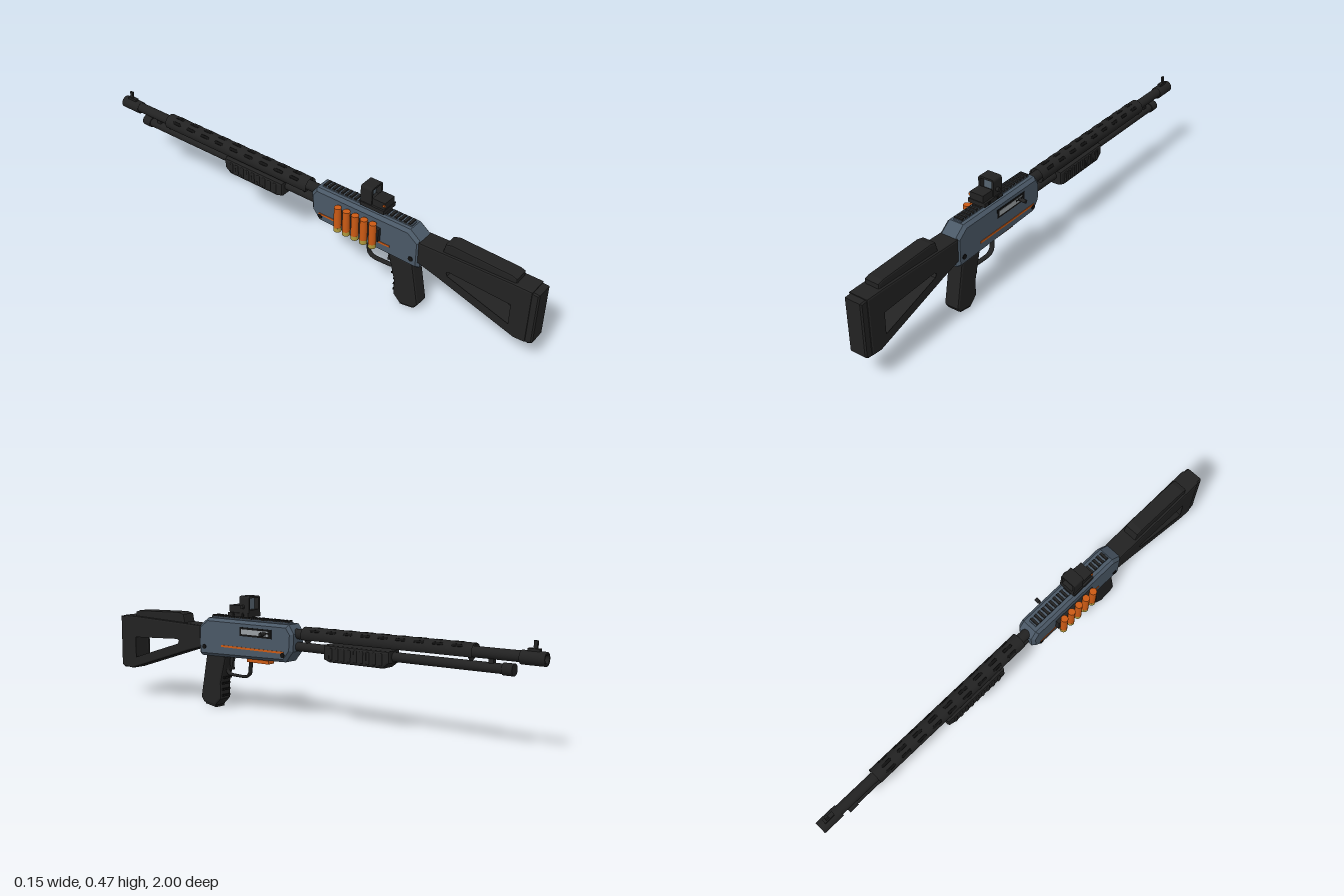
import * as THREE from 'three';
import { RoundedBoxGeometry } from 'three/addons/geometries/RoundedBoxGeometry.js';

const mat = (name, color, side = THREE.FrontSide) => {
  const m = new THREE.MeshStandardMaterial({ color, side });
  m.name = name;
  return m;
};

export function createModel() {
  const black = mat('matte black', 0x222222, THREE.DoubleSide);
  const dark = mat('deep black', 0x111111);
  const slate = mat('slate blue', 0x4a5866);
  const orange = mat('orange', 0xcc5a14);
  const brass = mat('brass', 0xb09a3c);
  const silver = mat('silver', 0x9aa0a4);
  const glass = mat('lens grey', 0x566470, THREE.DoubleSide);

  const model = new THREE.Group();
  model.name = 'shotgun';
  const body = new THREE.Group();
  body.name = 'body';
  body.position.x = 0.002;
  model.add(body);

  const add = (name, geo, material, x = 0, y = 0, z = 0) => {
    const m = new THREE.Mesh(geo, material);
    m.name = name;
    m.position.set(x, y, z);
    body.add(m);
    return m;
  };
  const box = (name, material, w, h, d, x, y, z) =>
    add(name, new THREE.BoxGeometry(w, h, d), material, x, y, z);
  // cylinder lying along z between two ends
  const rod = (name, material, r, y, z0, z1, n = 24, x = 0) =>
    add(name, new THREE.CylinderGeometry(r, r, Math.abs(z1 - z0), n).rotateX(Math.PI / 2), material, x, y, (z0 + z1) / 2);
  // side profile of [z, y] points, extruded across x with bevelled edges
  const profile = (name, material, pts, half, bevel, hole, segments = 1) => {
    const v = (p) => p.map(([z, y]) => new THREE.Vector2(-z, y));
    const s = new THREE.Shape(v(pts));
    if (hole) s.holes.push(new THREE.Path(v(hole)));
    const depth = 2 * (half - bevel);
    const g = new THREE.ExtrudeGeometry(s, {
      depth, bevelEnabled: bevel > 0, bevelSize: bevel, bevelThickness: bevel,
      bevelOffset: -bevel, bevelSegments: segments,
    });
    g.translate(0, 0, -depth / 2).rotateY(Math.PI / 2);
    return add(name, g, material);
  };

  // receiver with stripes, pins and top rail
  profile('receiver', slate, [[0.528, 0.225], [0.528, 0.338], [0.48, 0.375], [0.06, 0.375],
    [0.036, 0.34], [0.04, 0.27], [0.075, 0.227], [0.515, 0.217]], 0.043, 0.012);
  for (const s of [-1, 1]) {
    box('receiverStripe', orange, 0.004, 0.008, 0.325, s * 0.043, 0.265, 0.24);
    for (const z of [0.495, 0.083])
      add('receiverPin', new THREE.CylinderGeometry(0.01, 0.01, 0.008, 16).rotateZ(Math.PI / 2), dark, s * 0.042, 0.255, z);
  }
  box('railBase', slate, 0.034, 0.008, 0.4, 0, 0.377, 0.275);
  for (let i = 0; i < 20; i++) box('railTooth', black, 0.036, 0.008, 0.01, 0, 0.383, 0.085 + i * 0.02);

  // ejection port and charging handle
  box('ejectionPort', dark, 0.004, 0.036, 0.165, 0.0425, 0.332, 0.22);
  box('boltCarrier', silver, 0.004, 0.02, 0.14, 0.0438, 0.332, 0.222);
  box('boltSlot', dark, 0.003, 0.007, 0.045, 0.045, 0.334, 0.17);
  add('chargingHandle', new THREE.CylinderGeometry(0.006, 0.006, 0.035, 16).rotateZ(Math.PI / 2), black, 0.0575, 0.332, 0.17);
  add('handleKnob', new THREE.CylinderGeometry(0.0075, 0.0075, 0.018, 16).rotateZ(Math.PI / 2), black, 0.066, 0.332, 0.17);
  box('shellLifter', orange, 0.036, 0.014, 0.11, 0, 0.214, 0.23);

  // skeleton stock, cheek rest and butt pad
  profile('stock', black, [[0.975, 0.125], [0.975, 0.352], [0.9, 0.352], [0.52, 0.34], [0.52, 0.248],
    [0.6, 0.226], [0.93, 0.122]], 0.041, 0.007,
  [[0.91, 0.165], [0.91, 0.267], [0.65, 0.28], [0.635, 0.268], [0.645, 0.247]], 2);
  profile('buttPad', black, [[1, 0.133], [1, 0.347], [0.96, 0.35], [0.96, 0.125], [0.985, 0.122]], 0.037, 0.005);
  profile('cheekRest', black, [[0.91, 0.34], [0.91, 0.37], [0.89, 0.377], [0.65, 0.385], [0.625, 0.378], [0.615, 0.335]], 0.031, 0.006, null, 2);

  // pistol grip with ridges
  profile('grip', black, [[0.495, 0.225], [0.53, 0.04], [0.515, 0.018], [0.453, 0.008], [0.42, 0.04],
    [0.42, 0.105], [0.395, 0.2], [0.39, 0.225]], 0.032, 0.009, null, 2);
  const cap = box('gripCap', black, 0.05, 0.012, 0.058, 0, 0.0135, 0.478);
  cap.rotation.x = -0.17;
  for (let i = 0; i < 4; i++) box('gripRidge', dark, 0.044, 0.008, 0.012, 0, 0.055 + i * 0.025, 0.419 - Math.max(0, i - 2) * 0.01);

  // trigger and guard
  const guard = new THREE.CatmullRomCurve3([[0.21, 0.4], [0.165, 0.408], [0.145, 0.39], [0.142, 0.31], [0.16, 0.285], [0.225, 0.28]]
    .map(([y, z]) => new THREE.Vector3(0, y, z)), false, 'catmullrom', 0.3);
  add('triggerGuard', new THREE.TubeGeometry(guard, 40, 0.006, 8).scale(1.8, 1, 1), black);
  profile('trigger', black, [[0.385, 0.225], [0.365, 0.225], [0.376, 0.19], [0.372, 0.166], [0.38, 0.166], [0.39, 0.19]], 0.006, 0);

  // barrel, muzzle and front sight
  rod('barrel', black, 0.02, 0.338, 0.06, -0.95);
  const muzzle = new THREE.LatheGeometry([[0.014, 0], [0.014, 0.06], [0.025, 0.06], [0.025, -0.03], [0.02, -0.03]]
    .map(([r, y]) => new THREE.Vector2(r, y)), 24).rotateX(-Math.PI / 2);
  add('muzzle', muzzle, black, 0, 0.336, -0.94);
  box('frontSightBase', black, 0.016, 0.012, 0.045, 0, 0.363, -0.955);
  box('frontSightBlade', black, 0.008, 0.036, 0.014, 0, 0.378, -0.96);

  // heat shield with slots
  const shield = new THREE.CylinderGeometry(0.032, 0.032, 0.74, 28, 1, true, Math.PI - 2.1, 4.2).rotateX(Math.PI / 2);
  add('heatShield', shield, black, 0, 0.337, -0.367);
  for (const z of [-0.012, -0.722]) {
    const band = new THREE.RingGeometry(0.019, 0.032, 28);
    add('shieldEnd', band, black, 0, 0.337, z);
  }
  for (const a of [-0.85, 0, 0.85]) for (let i = 0; i < 9; i++) {
    const g = new THREE.CapsuleGeometry(0.006, 0.032, 4, 8).rotateX(Math.PI / 2).scale(1, 0.25, 1);
    const slot = add('shieldSlot', g, dark, Math.sin(a) * 0.0318, 0.337 + Math.cos(a) * 0.0318, -0.06 - i * 0.077);
    slot.rotation.z = -a;
  }

  // magazine tube and its clamp
  rod('magazineTube', black, 0.018, 0.289, 0.06, -0.88);
  rod('magazineCap', black, 0.022, 0.289, -0.845, -0.885);
  box('barrelClamp', black, 0.018, 0.05, 0.02, 0, 0.314, -0.8);

  // ribbed pump
  profile('pump', black, [[-0.11, 0.312], [-0.405, 0.312], [-0.405, 0.268], [-0.378, 0.247], [-0.135, 0.247], [-0.11, 0.256]], 0.038, 0.009, null, 2);
  for (let i = 0; i < 9; i++)
    add('pumpRib', new RoundedBoxGeometry(0.084, 0.046, 0.014, 2, 0.004), black, 0, 0.28, -0.145 - i * 0.028);

  // side saddle with five shells
  box('shellHolder', black, 0.018, 0.055, 0.2, -0.05, 0.302, 0.26);
  for (let i = 0; i < 5; i++) {
    const z = 0.182 + i * 0.0395;
    add('shellHull', new THREE.CylinderGeometry(0.0145, 0.0145, 0.09, 18), orange, -0.0655, 0.31, z);
    add('shellBase', new THREE.CylinderGeometry(0.015, 0.015, 0.018, 18), brass, -0.065, 0.257, z);
  }

  // reflex sight: mount, rear block, open hood and lens
  box('sightMount', black, 0.076, 0.016, 0.105, 0, 0.397, 0.314);
  box('sightBase', black, 0.06, 0.012, 0.1, 0, 0.408, 0.314);
  box('sightRearBlock', black, 0.06, 0.026, 0.055, 0, 0.421, 0.338);
  const hood = new THREE.Shape();
  hood.moveTo(-0.034, 0.405).lineTo(0.034, 0.405).lineTo(0.034, 0.462);
  hood.quadraticCurveTo(0.034, 0.473, 0.023, 0.473).lineTo(-0.023, 0.473);
  hood.quadraticCurveTo(-0.034, 0.473, -0.034, 0.462).lineTo(-0.034, 0.405);
  hood.holes.push(new THREE.Path([[-0.026, 0.418], [-0.026, 0.465], [0.026, 0.465], [0.026, 0.418]]
    .map(([x, y]) => new THREE.Vector2(x, y))));
  add('sightHood', new THREE.ExtrudeGeometry(hood, { depth: 0.05, bevelEnabled: false }), black, 0, 0, 0.26);
  box('sightLens', glass, 0.053, 0.048, 0.004, 0, 0.4415, 0.285);
  add('sightKnob', new THREE.CylinderGeometry(0.008, 0.008, 0.014, 16).rotateZ(Math.PI / 2), black, 0.038, 0.43, 0.29);
  for (const z of [0.29, 0.34])
    add('mountScrew', new THREE.CylinderGeometry(0.007, 0.007, 0.006, 12).rotateZ(Math.PI / 2), dark, 0.037, 0.397, z);
  box('sightIndicator', orange, 0.006, 0.008, 0.008, -0.031, 0.423, 0.362);

  return model;
}
